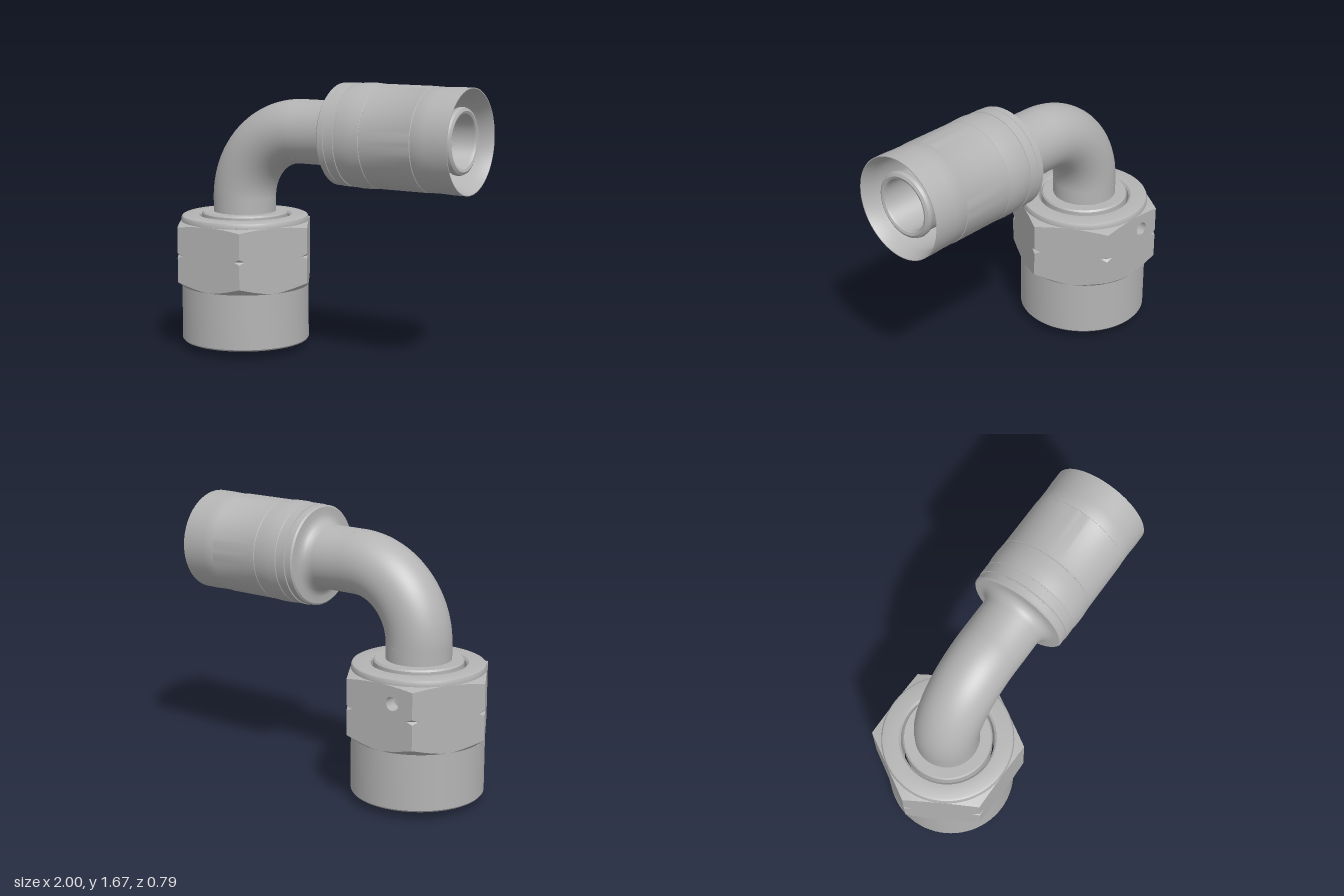
import * as THREE from 'three';
import { toCreasedNormals, mergeGeometries } from 'three/addons/utils/BufferGeometryUtils.js';

const NUT_X = -0.545;   // axis of the nut
const TUBE_Y = 1.365;   // axis of the hose end
const FLAT = 0.394;     // nut centre to flat
const HALF = FLAT * Math.tan(Math.PI / 6); // half the width of one flat
const BEND = 0.425, BEND_X = -0.12, BEND_Y = 0.94;
const TUBE_R = 0.193, BORE_R = 0.15;

// Turned part from [radius, height] pairs, outside going up, inside going down
function turned(profile) {
  const pts = profile.map(([r, h]) => new THREE.Vector2(r, h));
  return toCreasedNormals(new THREE.LatheGeometry(pts, 72), 0.5);
}

function fromTriangles(points) {
  const g = new THREE.BufferGeometry();
  g.setAttribute('position', new THREE.Float32BufferAttribute(points.flat(), 3));
  g.computeVertexNormals();
  return g;
}

function plain(geometry) {
  const g = geometry.index ? geometry.toNonIndexed() : geometry;
  g.deleteAttribute('uv');
  return g;
}

// One of the six sides: flat with corner notches, and its two chamfers
function hexSide(index) {
  const notchY = 0.605, notchH = 0.016, notchX = HALF - 0.04;
  const t = x => Math.max(0, (Math.hypot(x, FLAT) - FLAT) / (Math.hypot(HALF, FLAT) - FLAT));
  const low = x => 0.395 + 0.045 * Math.pow(t(x), 0.75);
  const high = x => 0.795 - 0.017 * t(x);
  const n = 16;
  const xs = Array.from({ length: n + 1 }, (_, i) => HALF * (2 * i / n - 1));
  const notch = s => [-1, 0, 1].map(k =>
    new THREE.Vector2(s * (k ? HALF : notchX), notchY + s * k * notchH));
  const shape = new THREE.Shape([
    ...xs.map(x => new THREE.Vector2(x, low(x))), ...notch(1),
    ...xs.slice().reverse().map(x => new THREE.Vector2(x, high(x))), ...notch(-1),
  ]);

  const parts = [];
  if (index === 3) { // drilled wire hole in the back flat
    shape.holes.push(new THREE.Path().absarc(0.09, 0.69, 0.042, 0, Math.PI * 2, true));
    parts.push(plain(new THREE.CylinderGeometry(0.042, 0.042, 0.1, 24, 1, true)
      .scale(-1, 1, 1).rotateX(Math.PI / 2).translate(0.09, 0.69, FLAT - 0.05)));
    // mirrored normals point outward, so turn them to the inside of the hole
    const nrm = parts[0].attributes.normal;
    for (let i = 0; i < nrm.count; i++) nrm.setXYZ(i, -nrm.getX(i), -nrm.getY(i), -nrm.getZ(i));
  }
  parts.push(plain(new THREE.ShapeGeometry(shape, 24).translate(0, 0, FLAT)));

  const tris = [];
  const rim = (x, y) => {
    const s = FLAT / Math.hypot(x, FLAT);
    return [x * s, y, FLAT * s];
  };
  for (let i = 0; i < n; i++) {
    const a = xs[i], b = xs[i + 1];
    const quads = [
      [rim(a, 0.395), rim(b, 0.395), [b, low(b), FLAT], [a, low(a), FLAT]],
      [[a, high(a), FLAT], [b, high(b), FLAT], rim(b, 0.795), rim(a, 0.795)],
    ];
    for (const [p, q, r, s] of quads) tris.push(p, q, r, p, r, s);
  }
  // V notch across the right-hand corner
  const c = Math.cos(Math.PI / 3), s = Math.sin(Math.PI / 3);
  const A = [notchX, notchY, FLAT];
  const B = [-notchX * c + FLAT * s, notchY, notchX * s + FLAT * c];
  tris.push([HALF, notchY - notchH, FLAT], B, A, [HALF, notchY + notchH, FLAT], A, B);
  parts.push(fromTriangles(tris));

  return mergeGeometries(parts).rotateY(index * Math.PI / 3);
}

export function createModel() {
  const model = new THREE.Group();
  const steel = new THREE.MeshStandardMaterial({ color: 0xb4b4b4, side: THREE.DoubleSide });
  steel.name = 'steel';
  const add = (name, geometry, parent = model) => {
    const mesh = new THREE.Mesh(geometry, steel);
    mesh.name = name;
    parent.add(mesh);
    return mesh;
  };

  // Swivel nut: hollow round body with six flats around it
  const nut = new THREE.Group();
  nut.name = 'swivelNut';
  nut.position.x = NUT_X;
  model.add(nut);
  add('nutBody', turned([
    [0.37, 0.048], [0.386, 0.048], [FLAT, 0.058], [FLAT, 0.395], [0.32, 0.42],
    [0.32, 0.78], [FLAT, 0.795], [FLAT, 0.812], [0.388, 0.826], [0.375, 0.832],
    [0.29, 0.832], [0.278, 0.82], [0.278, 0.42], [0.335, 0.36], [0.335, 0.085], [0.37, 0.048],
  ]), nut);
  for (let i = 0; i < 6; i++) add('nutFlat', hexSide(i), nut);

  // Stem inside the nut: rounded nose, shoulder, top collar and start of the tube
  add('stem', turned([
    [0.1, 0], [0.14, 0], [0.155, 0.004], [0.17, 0.022], [0.178, 0.045], [0.177, 0.07],
    [0.165, 0.095], [0.15, 0.11], [0.15, 0.16], [0.225, 0.17], [0.235, 0.18], [0.235, 0.7],
    [0.265, 0.72], [0.265, 0.842], [0.256, 0.852], [TUBE_R, 0.852], [TUBE_R, BEND_Y],
    [BORE_R, BEND_Y], [BORE_R, 0.2], [0.1, 0.14], [0.1, 0],
  ]), nut);

  // Quarter bend, outside and bore
  for (const [name, r] of [['elbow', TUBE_R], ['elbowBore', BORE_R]]) {
    const bend = add(name, new THREE.TorusGeometry(BEND, r, 48, 40, Math.PI / 2).rotateZ(Math.PI / 2));
    bend.position.set(BEND_X, BEND_Y, 0);
  }

  // Hose end: straight tube, flare, crimped sleeve and inner nipple
  const hoseEnd = add('hoseSleeve', turned([
    [TUBE_R, BEND_X], [TUBE_R, 0.09], [0.198, 0.115], [0.21, 0.135], [0.228, 0.149],
    [0.25, 0.155], [0.292, 0.156], [0.302, 0.165], [0.302, 0.203], [0.298, 0.205],
    [0.298, 0.209], [0.305, 0.211], [0.305, 0.27], [0.3, 0.272], [0.3, 0.277],
    [0.304, 0.28], [0.309, 0.33], [0.309, 0.38], [0.305, 0.437], [0.301, 0.44],
    [0.305, 0.443], [0.305, 0.766], [0.301, 0.769], [0.303, 0.773], [0.302, 0.85],
    [0.305, 0.92], [0.305, 1], [0.3, 1], [0.275, 0.93], [0.275, 0.3],
    [0.18, 0.3], [0.18, 0.9], [0.192, 0.918], [0.195, 0.936], [0.189, 0.953],
    [0.173, 0.962], [0.158, 0.956], [BORE_R, 0.94], [BORE_R, BEND_X],
  ]).rotateZ(-Math.PI / 2));
  hoseEnd.position.y = TUBE_Y;

  return model;
}
